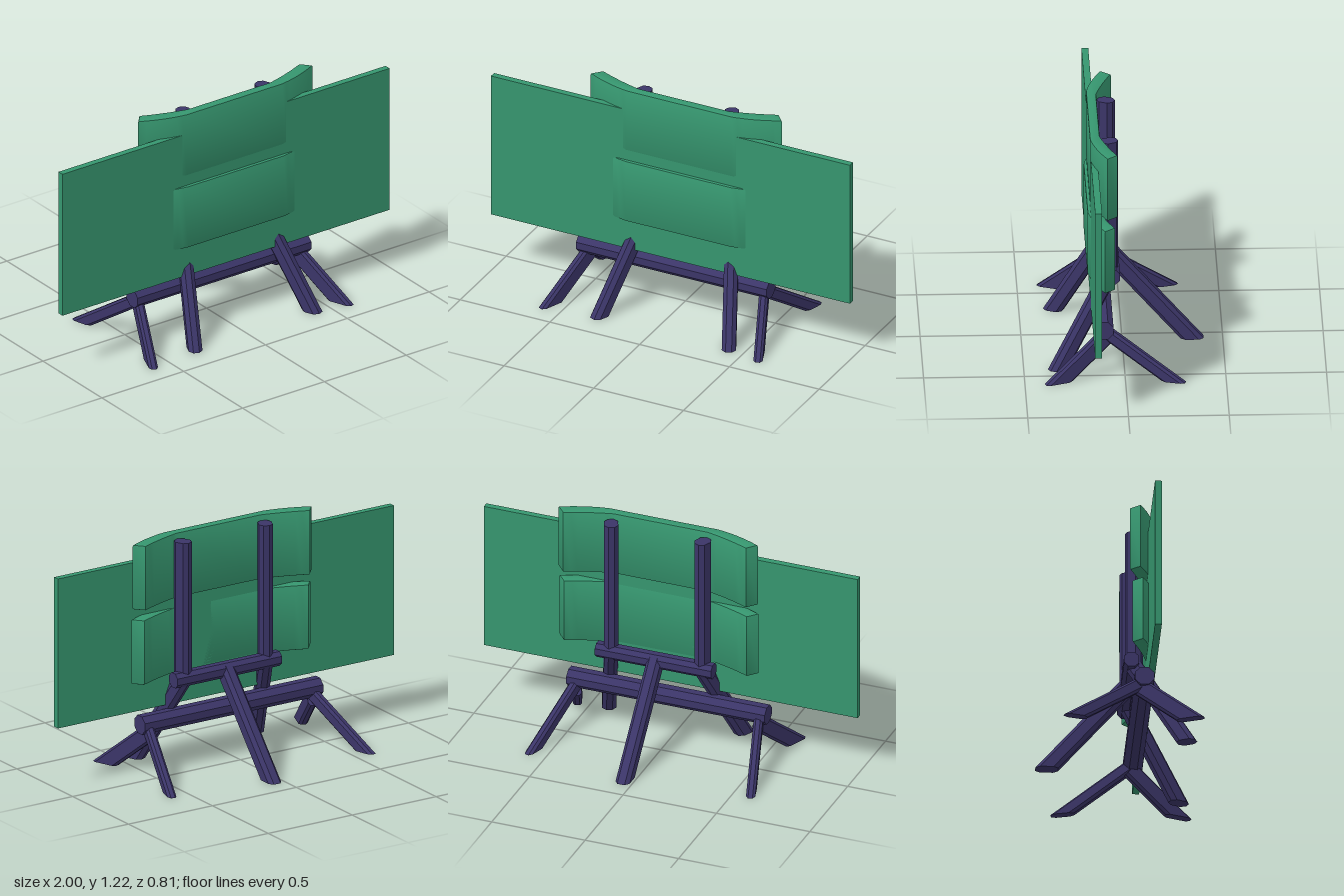
import * as THREE from 'three';
import { toCreasedNormals } from 'three/addons/utils/BufferGeometryUtils.js';

const V = (x, y, z) => new THREE.Vector3(x, y, z);
const green = new THREE.MeshStandardMaterial({ color: 0x36966f });
const purple = new THREE.MeshStandardMaterial({ color: 0x3b3568, flatShading: true });

// Chamfered bar swept along a path: mitred at bends, cut flat where it meets the ground.
function beam(name, path, w, h, c) {
  const n = path.length;
  const dirs = path.slice(1).map((p, i) => p.clone().sub(path[i]).normalize());
  const last = dirs[n - 2];
  const u = Math.abs(last.y) < 1e-6 ? V(0, 0, 1) : V(0, 1, 0).cross(last).normalize();
  const a = w / 2, b = h / 2;
  const section = [[a, -b + c], [a, b - c], [a - c, b], [-a + c, b],
    [-a, b - c], [-a, -b + c], [-a + c, -b], [a - c, -b]];
  const rings = path.map((p, i) => {
    const d = dirs[Math.max(i - 1, 0)];
    const v = d.clone().cross(u);
    let plane = d.clone();
    if (i > 0 && i < n - 1) plane.add(dirs[i]).normalize();
    if (p.y === 0) plane = V(0, 1, 0);
    return section.map(([s, t]) => {
      const o = u.clone().multiplyScalar(s).addScaledVector(v, t);
      return p.clone().add(o).addScaledVector(d, -o.dot(plane) / d.dot(plane));
    });
  });
  const pos = [];
  const tri = (...pts) => pts.forEach(p => pos.push(p.x, p.y, p.z));
  for (let i = 0; i < n - 1; i++) {
    for (let j = 0; j < 8; j++) {
      const k = (j + 1) % 8, A = rings[i], B = rings[i + 1];
      tri(A[j], A[k], B[k]);
      tri(A[j], B[k], B[j]);
    }
  }
  const S = rings[0], E = rings[n - 1];
  for (let j = 1; j < 7; j++) {
    tri(S[0], S[j + 1], S[j]);
    tri(E[0], E[j], E[j + 1]);
  }
  const geo = new THREE.BufferGeometry();
  geo.setAttribute('position', new THREE.Float32BufferAttribute(pos, 3));
  geo.computeVertexNormals();
  const mesh = new THREE.Mesh(geo, purple);
  mesh.name = name;
  return mesh;
}

// Board with ends that curve backwards, extruded upwards with a small bevel.
function curvedBoard(name, y0, y1, dz) {
  const e = 0.008;
  const s = new THREE.Shape();
  s.moveTo(-0.29, -0.165 + e);
  s.lineTo(0.29, -0.165 + e);
  s.quadraticCurveTo(0.40, -0.15 + e, 0.53 - e, -0.083);
  s.lineTo(0.487, -0.036 - e);
  s.quadraticCurveTo(0.36, -0.098, 0.25, -0.115 - e);
  s.lineTo(-0.25, -0.115 - e);
  s.quadraticCurveTo(-0.36, -0.098, -0.487, -0.036 - e);
  s.lineTo(-0.53 + e, -0.083);
  s.quadraticCurveTo(-0.40, -0.15 + e, -0.29, -0.165 + e);
  const geo = new THREE.ExtrudeGeometry(s, {
    depth: y1 - y0 - 2 * e, bevelThickness: e, bevelSize: e, bevelSegments: 2, curveSegments: 8,
  });
  geo.rotateX(-Math.PI / 2);
  const mesh = new THREE.Mesh(toCreasedNormals(geo, 0.5), green);
  mesh.position.set(0.05, y0 + e, dz);
  mesh.name = name;
  return mesh;
}

export function createModel() {
  const model = new THREE.Group();
  model.name = 'chairFrame';

  // Wide flat panel
  const panel = new THREE.Mesh(new THREE.BoxGeometry(2, 0.785, 0.034), green);
  panel.position.set(0, 0.712, 0.148);
  panel.name = 'widePanel';
  model.add(panel);

  // Curved back boards
  model.add(curvedBoard('upperBoard', 0.875, 1.215, 0.004));
  model.add(curvedBoard('lowerBoard', 0.48, 0.82, 0.016));

  for (const s of [-1, 1]) {
    const side = s > 0 ? 'left' : 'right';
    // Upright post bending into the front leg
    model.add(beam(side + 'PostAndFrontLeg', [
      V(0.05 + s * 0.245, 1.185, 0.072),
      V(0.05 + s * 0.245, 0.46, 0.072),
      V(0.05 + s * 0.36, 0, 0.328),
    ], 0.07, 0.085, 0.02));
    // Splayed feet of the low bar
    model.add(beam(side + 'LowFrontLeg',
      [V(s * 0.485, 0.21, 0.09), V(s * 0.58, 0, 0.333)], 0.046, 0.088, 0.012));
    model.add(beam(side + 'LowRearLeg',
      [V(s * 0.485, 0.235, 0.1), V(s * 0.582, 0, -0.24)], 0.046, 0.066, 0.012));
  }

  // Centre rear leg and the two cross bars
  model.add(beam('rearLeg', [V(0.05, 0.47, 0.06), V(0.05, 0, -0.348)], 0.075, 0.086, 0.018));
  model.add(beam('upperCrossBar', [V(-0.26, 0.47, 0.057), V(0.362, 0.47, 0.057)], 0.075, 0.075, 0.02));
  model.add(beam('lowerCrossBar', [V(-0.532, 0.255, 0.106), V(0.53, 0.255, 0.106)], 0.096, 0.094, 0.028));

  return model;
}
